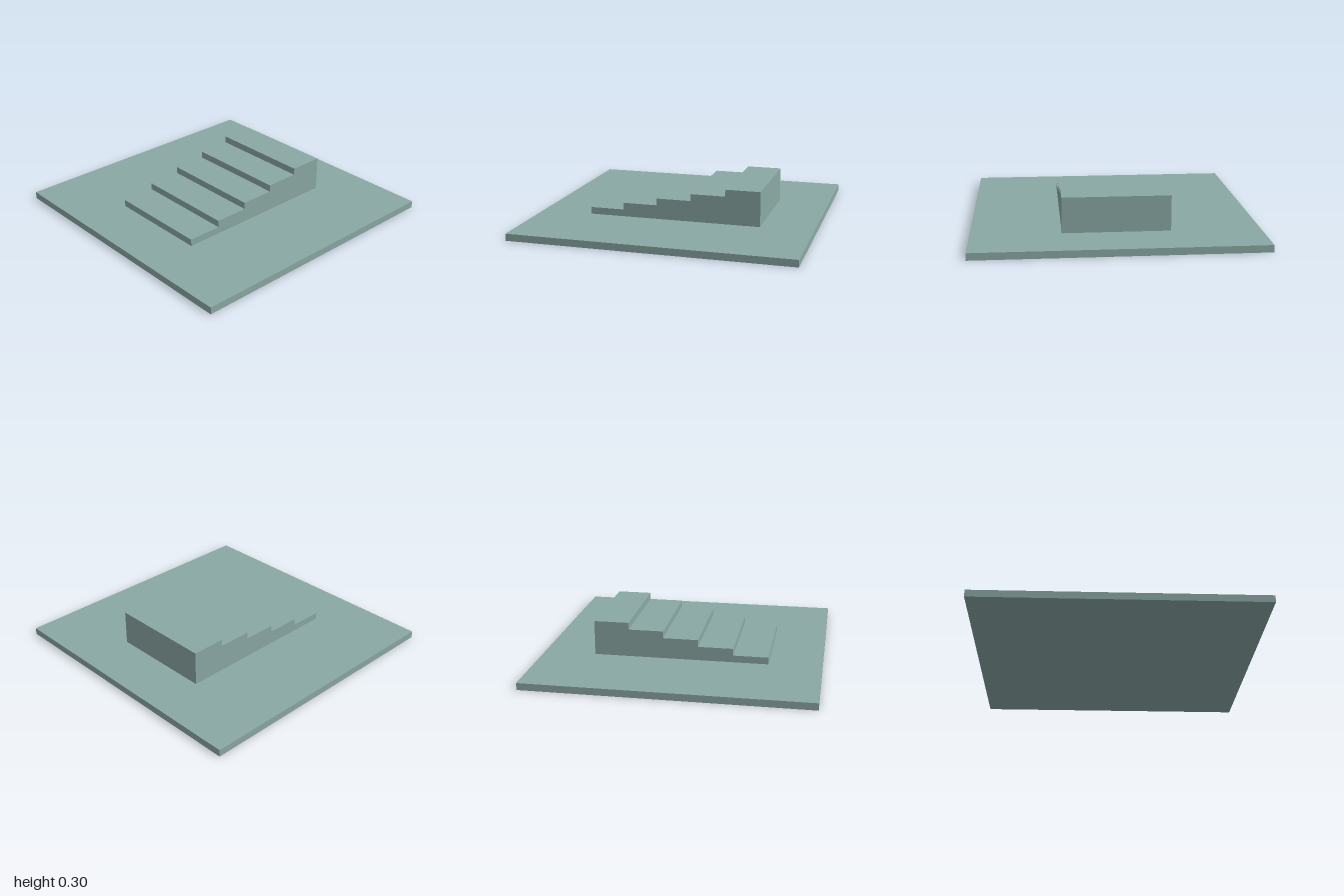
import * as THREE from 'three';

export function createModel() {
  const group = new THREE.Group();
  const material = new THREE.MeshStandardMaterial({ color: 0x8aa8a4, flatShading: true });

  // Square ground slab
  const baseHeight = 0.05;
  const base = new THREE.Mesh(new THREE.BoxGeometry(2, baseHeight, 2), material);
  base.name = 'basePlate';
  base.position.y = baseHeight / 2;
  group.add(base);

  // Solid staircase rising towards +x: stepped profile extruded along z
  const steps = 5, tread = 0.25, rise = 0.05, width = 0.75;
  const left = -steps * tread / 2;
  const profile = new THREE.Shape();
  profile.moveTo(left, 0);
  profile.lineTo(-left, 0);
  for (let i = steps; i > 0; i--) {
    profile.lineTo(left + i * tread, i * rise);
    profile.lineTo(left + (i - 1) * tread, i * rise);
  }
  profile.closePath();
  const stairs = new THREE.Mesh(
    new THREE.ExtrudeGeometry(profile, { depth: width, bevelEnabled: false }),
    material
  );
  stairs.name = 'staircase';
  stairs.position.set(0, baseHeight, -width / 2);
  group.add(stairs);

  return group;
}
